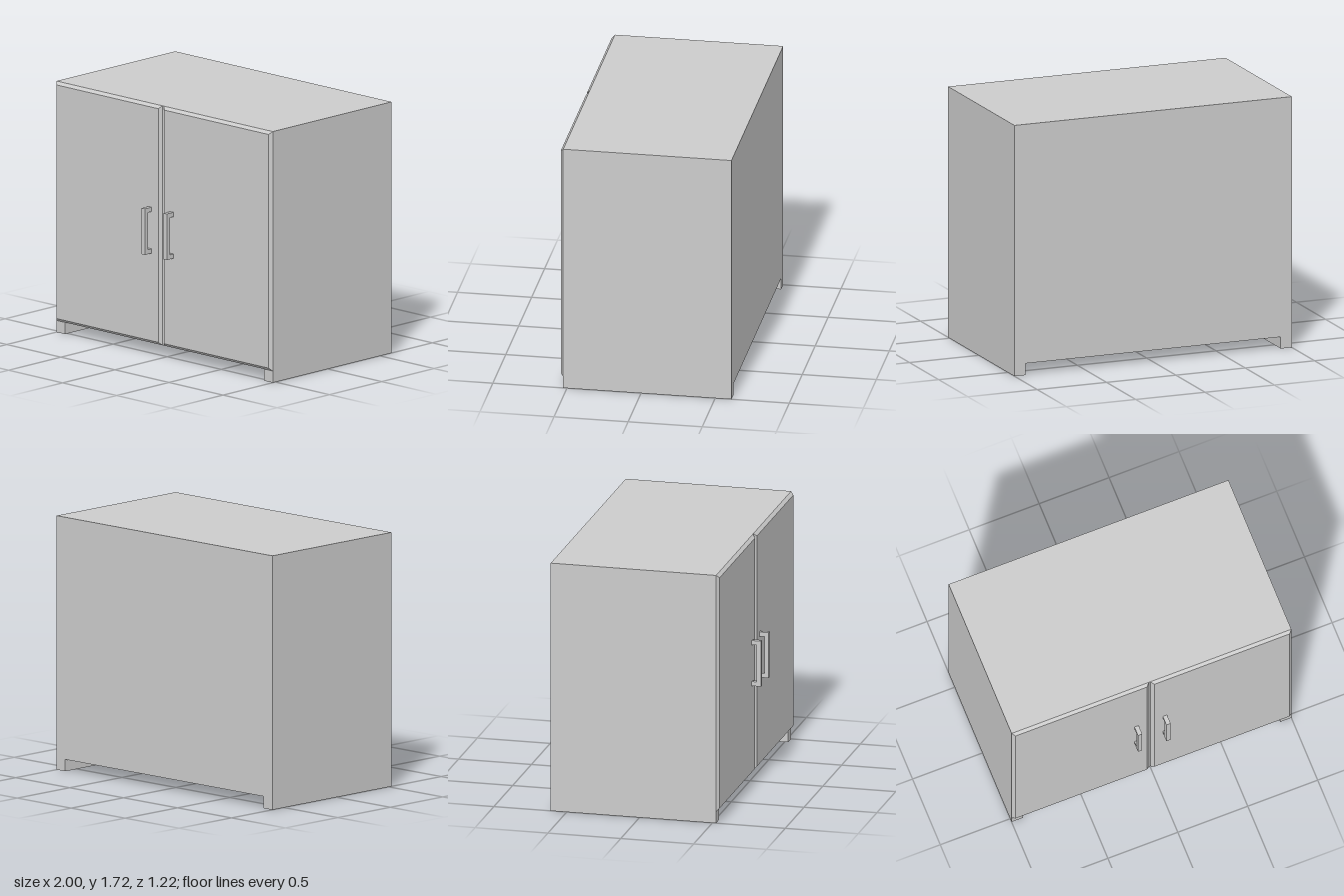
import * as THREE from 'three';

const material = new THREE.MeshStandardMaterial({ color: 0xcccccc });
const BACK = -0.61, FACE = 0.525, DOOR_FRONT = 0.545;
const TOP = 1.72, FLOOR = 0.08;

function addMesh(parent, name, geometry) {
  const mesh = new THREE.Mesh(geometry, material);
  mesh.name = name;
  parent.add(mesh);
  return mesh;
}

// Extrude a closed outline between two depths
function extrude(points, depth, holes = []) {
  const toVectors = (list) => list.map(([x, y]) => new THREE.Vector2(x, y));
  const shape = new THREE.Shape(toVectors(points));
  holes.forEach((hole) => shape.holes.push(new THREE.Path(toVectors(hole))));
  return new THREE.ExtrudeGeometry(shape, { depth, bevelEnabled: false });
}

// Slab whose front face is inset on every edge
function chamferedPanel(x0, x1, y0, y1, inset) {
  const depth = DOOR_FRONT - FACE;
  const geometry = new THREE.BoxGeometry(x1 - x0, y1 - y0, depth);
  const pos = geometry.attributes.position;
  for (let i = 0; i < pos.count; i++) {
    if (pos.getZ(i) < 0) continue;
    pos.setX(i, pos.getX(i) - Math.sign(pos.getX(i)) * inset);
    pos.setY(i, pos.getY(i) - Math.sign(pos.getY(i)) * inset);
  }
  geometry.computeVertexNormals();
  return geometry.translate((x0 + x1) / 2, (y0 + y1) / 2, FACE + depth / 2);
}

// Square-section pull: a bar with two stubs reaching the door
function handleGeometry() {
  const y0 = 0.7, y1 = 1.015, t = 0.03, front = 0.61;
  const outline = [
    [DOOR_FRONT, y0], [front, y0], [front, y1], [DOOR_FRONT, y1],
    [DOOR_FRONT, y1 - t], [front - t, y1 - t], [front - t, y0 + t], [DOOR_FRONT, y0 + t],
  ];
  // Turn the profile so its first axis runs along z
  return extrude(outline, t).translate(0, 0, -t / 2).rotateY(-Math.PI / 2);
}

export function createModel() {
  const model = new THREE.Group();
  model.name = 'cabinet';

  // Carcass with side panels running down to the ground as runners
  const carcass = addMesh(model, 'carcass', extrude([
    [-1, 0], [-0.92, 0], [-0.92, FLOOR], [0.92, FLOOR],
    [0.92, 0], [1, 0], [1, TOP], [-1, TOP],
  ], FACE - BACK));
  carcass.position.z = BACK;

  // Two chamfered doors with a narrow gap between them, each with a pull
  const doors = [
    { side: 'right', x0: -1, x1: -0.019, handleX: -0.115 },
    { side: 'left', x0: -0.008, x1: 1, handleX: 0.088 },
  ];
  for (const { side, x0, x1, handleX } of doors) {
    addMesh(model, `${side}Door`, chamferedPanel(x0, x1, FLOOR, TOP, 0.02));
    addMesh(model, `${side}Handle`, handleGeometry()).position.x = handleX;
  }
  return model;
}
